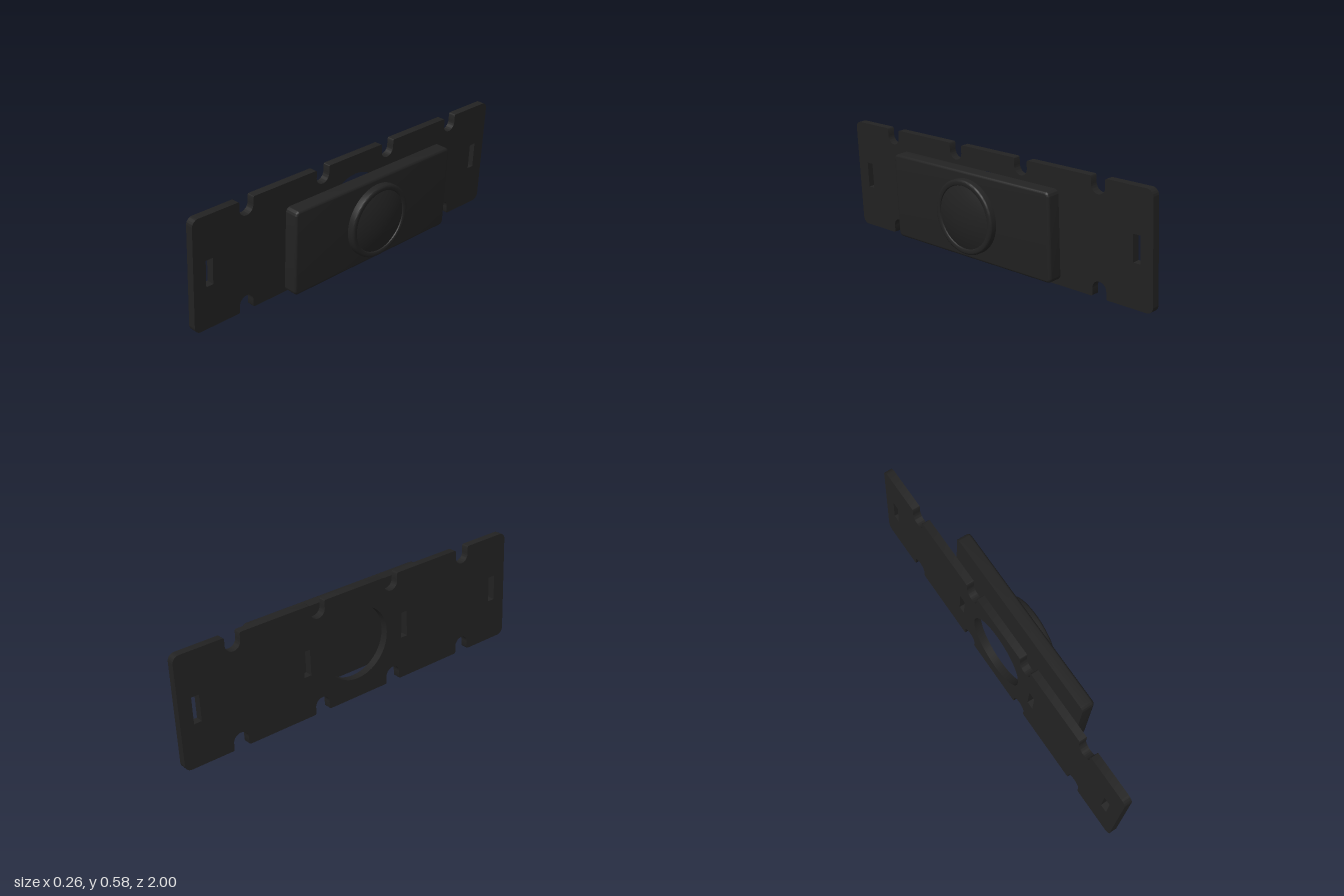
import * as THREE from 'three';
import { toCreasedNormals } from 'three/addons/utils/BufferGeometryUtils.js';

const material = new THREE.MeshStandardMaterial({ color: 0x222222 });

function addMesh(parent, geometry, name) {
  const mesh = new THREE.Mesh(geometry, material);
  mesh.name = name;
  parent.add(mesh);
  return mesh;
}

// Centred rectangle with rounded corners
function roundedRect(w, h, r) {
  const s = new THREE.Shape();
  const x = w / 2 - r, y = h / 2 - r;
  s.absarc(x, y, r, 0, Math.PI / 2);
  s.absarc(-x, y, r, Math.PI / 2, Math.PI);
  s.absarc(-x, -y, r, Math.PI, Math.PI * 1.5);
  s.absarc(x, -y, r, Math.PI * 1.5, Math.PI * 2);
  s.closePath();
  return s;
}

// Long plate with notched edges, strap slots and a round opening
function plateGeometry() {
  const X = 1, Y = 0.2915, corner = 0.035, r = 0.041, lip = 0.01;
  const s = new THREE.Shape();
  const centres = [-0.695, -0.222, 0.222, 0.695];
  s.moveTo(-X + corner, -Y);
  for (const side of [1, -1]) {
    // side 1 runs along the bottom to +x, side -1 returns along the top
    const y = -Y * side;
    for (const c of centres) {
      const cx = c * side;
      s.lineTo(cx - side * (r + lip), y);
      s.quadraticCurveTo(cx - side * r, y, cx - side * r, y + side * lip);
      const start = side > 0 ? Math.PI : 0;
      s.absarc(cx, y + side * 0.04, r, start, start - Math.PI, true);
      s.lineTo(cx + side * r, y + side * lip);
      s.quadraticCurveTo(cx + side * r, y, cx + side * (r + lip), y);
    }
    const a = side > 0 ? -Math.PI / 2 : Math.PI / 2;
    s.absarc(side * (X - corner), side * (corner - Y), corner, a, a + Math.PI / 2);
    s.absarc(side * (X - corner), side * (Y - corner), corner, a + Math.PI / 2, a + Math.PI);
  }
  const opening = new THREE.Path();
  opening.absarc(0, 0, 0.19, 0, Math.PI * 2, true);
  s.holes.push(opening);
  for (const x of [-0.91, -0.3, 0.3, 0.91]) {
    const slot = new THREE.Path();
    slot.moveTo(x - 0.02, -0.068);
    slot.lineTo(x - 0.02, 0.068);
    slot.lineTo(x + 0.02, 0.068);
    slot.lineTo(x + 0.02, -0.068);
    slot.closePath();
    s.holes.push(slot);
  }
  const g = new THREE.ExtrudeGeometry(s, { depth: 0.04, bevelEnabled: false, curveSegments: 20 });
  return toCreasedNormals(g, 0.6);
}

// Housing block: rounded front edge, flat back
function housingGeometry() {
  const b = 0.013;
  const g = new THREE.ExtrudeGeometry(roundedRect(1.054 - 2 * b, 0.442 - 2 * b, 0.012), {
    depth: 0.07 - b, bevelThickness: b, bevelSize: b, bevelSegments: 5, curveSegments: 8,
  });
  const p = g.attributes.position;
  for (let i = 0; i < p.count; i++) p.setZ(i, Math.max(0, p.getZ(i)));
  return toCreasedNormals(g, 0.6);
}

// Solid of revolution about z from [radius, z] pairs
function lathe(points) {
  const g = new THREE.LatheGeometry(points.map(([r, z]) => new THREE.Vector2(r, z)), 72);
  return toCreasedNormals(g.rotateX(Math.PI / 2), 0.6);
}

export function createModel() {
  const model = new THREE.Group();
  model.name = 'sensorAndMountingPlate';

  // The whole assembly faces +x and leans slightly over
  const tilt = new THREE.Group();
  tilt.name = 'assembly';
  tilt.rotation.z = -0.0637;
  model.add(tilt);
  const body = new THREE.Group();
  body.name = 'parts';
  body.rotation.y = Math.PI / 2;
  body.position.y = 0.287;
  tilt.add(body);

  addMesh(body, plateGeometry(), 'mountingPlate').position.z = -0.132;
  addMesh(body, housingGeometry(), 'housing').position.z = -0.0153;

  // Raised bezel with rounded rim
  addMesh(body, lathe([
    [0.19, 0.05], [0.19, 0.08], [0.189, 0.084], [0.186, 0.0875], [0.182, 0.0895],
    [0.178, 0.09], [0.167, 0.09], [0.163, 0.088], [0.16, 0.082],
  ]), 'bezel');

  // Shallow domed lens
  const dome = [];
  for (let i = 0; i <= 14; i++) {
    const r = 0.162 * (1 - i / 14);
    dome.push([r, 0.1117 - 0.029 * (r / 0.162) ** 2]);
  }
  addMesh(body, lathe(dome), 'lens');

  return model;
}
